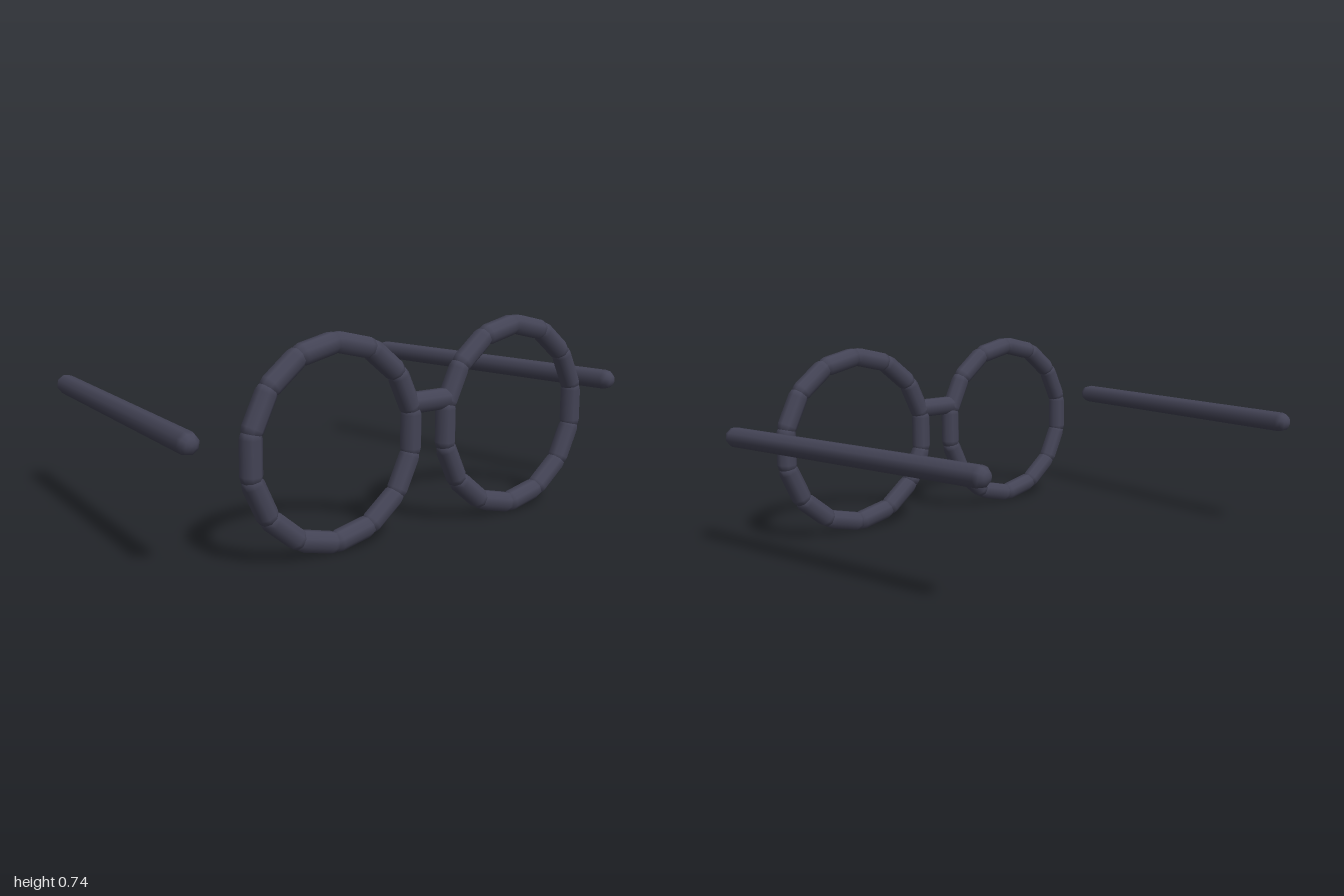
import * as THREE from 'three';

const RADIUS = 0.0385; // octagonal rod, about 0.071 across the flats

export function createModel() {
  const model = new THREE.Group();
  model.name = 'glasses';
  const frameMaterial = new THREE.MeshStandardMaterial({ color: 0x444456 });
  frameMaterial.name = 'dark frame';

  // Round-ended rod centred on a point, lying along a direction
  function rod(name, center, direction, totalLength, parent) {
    const geometry = new THREE.CapsuleGeometry(RADIUS, totalLength - 2 * RADIUS, 3, 8);
    geometry.rotateY(Math.PI / 8); // flats face outward
    const mesh = new THREE.Mesh(geometry, frameMaterial);
    mesh.name = name;
    mesh.position.copy(center);
    mesh.quaternion.setFromUnitVectors(new THREE.Vector3(0, 1, 0), direction.clone().normalize());
    parent.add(mesh);
  }

  const rimZ = 0.602, rimY = 0.37, rimX = 0.411, rimRadius = 0.33, count = 14;

  for (const [side, label] of [[1, 'left'], [-1, 'right']]) {
    // Rim: ring of short rods
    const rim = new THREE.Group();
    rim.name = label + 'Rim';
    rim.position.set(side * rimX, rimY, rimZ);
    for (let i = 0; i < count; i++) {
      const a = (i / count) * Math.PI * 2;
      rod('rimSegment',
        new THREE.Vector3(Math.cos(a) * rimRadius, Math.sin(a) * rimRadius, 0),
        new THREE.Vector3(-Math.sin(a), Math.cos(a), 0), 0.195, rim);
    }
    model.add(rim);

    // Temple arm, closing inward toward the back
    const front = new THREE.Vector3(side * 0.965, 0.444, 0.629);
    const back = new THREE.Vector3(side * 0.808, 0.444, -0.637);
    rod(label + 'Temple', front.clone().add(back).multiplyScalar(0.5),
      back.clone().sub(front), front.distanceTo(back), model);
  }

  // Bridge between the rims
  rod('bridge', new THREE.Vector3(0, 0.468, rimZ), new THREE.Vector3(1, 0, 0), 0.23, model);

  return model;
}
